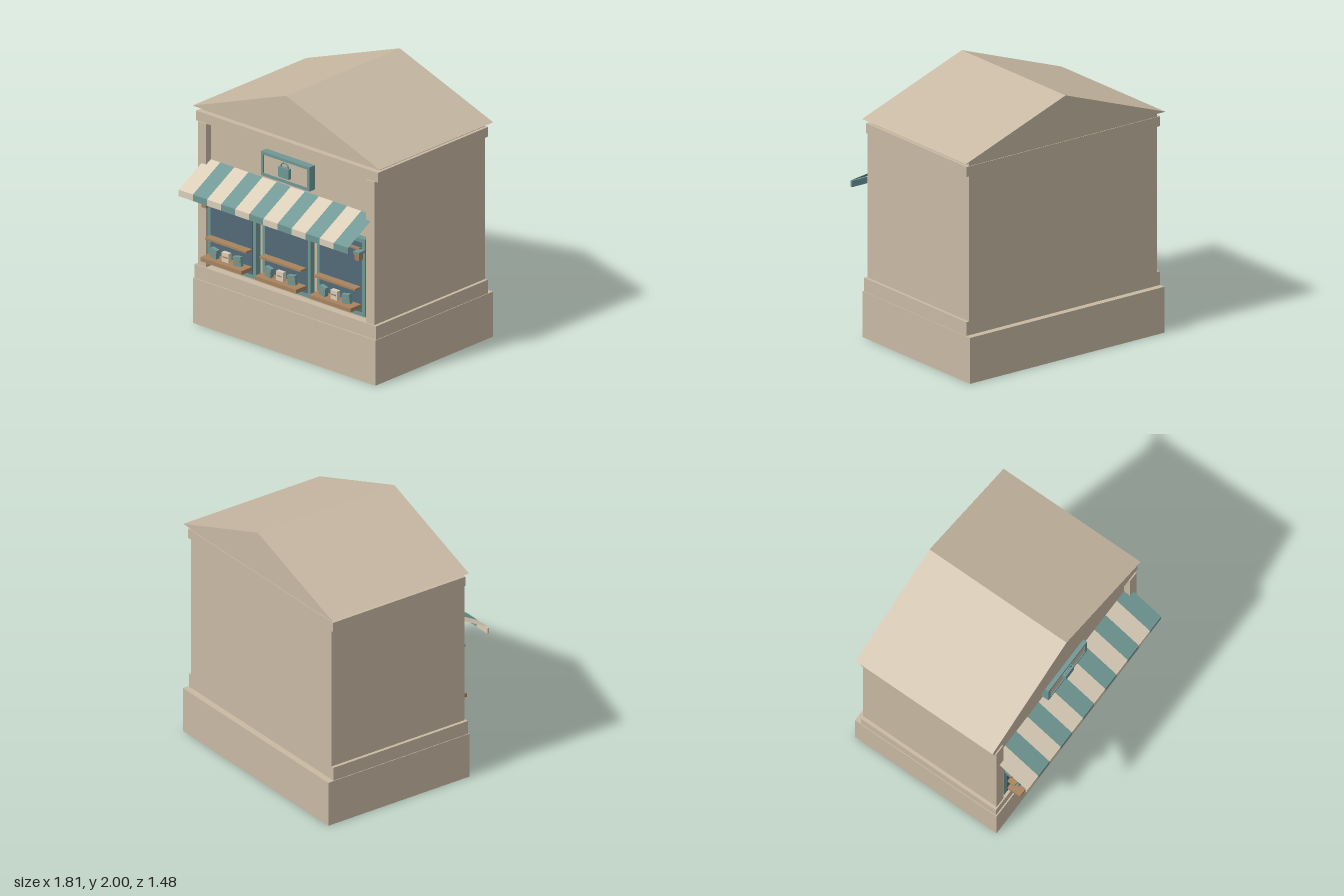
import * as THREE from 'three';

const mat = (name, color) => {
  const m = new THREE.MeshStandardMaterial({ color });
  m.name = name;
  return m;
};

export function createModel() {
  const stone = mat('stone', 0xc8b9a3);
  const cream = mat('cream', 0xdacdb7);
  const teal = mat('teal', 0x6f9794);
  const glass = mat('glass', 0x526a78);
  const wood = mat('wood', 0xa8845f);
  const creamCloth = cream.clone();
  const tealCloth = teal.clone();
  creamCloth.name = 'creamCloth';
  tealCloth.name = 'tealCloth';
  creamCloth.side = tealCloth.side = THREE.DoubleSide;

  const model = new THREE.Group();
  model.name = 'shop';

  const add = (parent, name, geometry, material) => {
    const mesh = new THREE.Mesh(geometry, material);
    mesh.name = name;
    parent.add(mesh);
    return mesh;
  };
  // Box given by its limits on each axis
  const box = (parent, name, material, [x0, x1], [y0, y1], [z0, z1]) => {
    const mesh = add(parent, name, new THREE.BoxGeometry(x1 - x0, y1 - y0, z1 - z0), material);
    mesh.position.set((x0 + x1) / 2, (y0 + y1) / 2, (z0 + z1) / 2);
    return mesh;
  };
  const group = (parent, name, x = 0, y = 0, z = 0) => {
    const g = new THREE.Group();
    g.name = name;
    g.position.set(x, y, z);
    parent.add(g);
    return g;
  };
  // Rectangular border extruded toward the front
  const border = (parent, name, material, w, h, t, depth) => {
    const rect = (Shape, a, b) => new Shape([
      new THREE.Vector2(-a, -b), new THREE.Vector2(a, -b),
      new THREE.Vector2(a, b), new THREE.Vector2(-a, b)]);
    const shape = rect(THREE.Shape, w / 2, h / 2);
    shape.holes.push(rect(THREE.Path, w / 2 - t, h / 2 - t));
    return add(parent, name, new THREE.ExtrudeGeometry(shape, { depth, bevelEnabled: false }), material);
  };

  // Masonry
  box(model, 'base', stone, [-0.885, 0.885], [0, 0.35], [-0.74, 0.515]);
  box(model, 'plinth', stone, [-0.88, 0.88], [0.35, 0.455], [-0.69, 0.505]);
  box(model, 'walls', stone, [-0.855, 0.855], [0.455, 1.565], [-0.69, 0.445]);
  for (const s of [-1, 1]) {
    const name = s > 0 ? 'leftPilaster' : 'rightPilaster';
    box(model, name, stone, s > 0 ? [0.775, 0.855] : [-0.855, -0.775], [0.455, 1.565], [0.445, 0.495]);
  }
  box(model, 'cornice', stone, [-0.88, 0.88], [1.565, 1.64], [-0.695, 0.485]);
  box(model, 'roofCourse', stone, [-0.855, 0.855], [1.64, 1.676], [-0.69, 0.44]);

  // Gabled roof
  const gable = new THREE.Shape([
    new THREE.Vector2(-0.907, 1.675), new THREE.Vector2(0.907, 1.675), new THREE.Vector2(0, 2)]);
  add(model, 'roof', new THREE.ExtrudeGeometry(gable, { depth: 1.215, bevelEnabled: false }), stone)
    .position.z = -0.72;

  // Striped awning: thin sloping sheet with a hanging valance
  const awning = group(model, 'awning');
  const stripe = 1.64 / 12;
  const drop = 0.16, reach = 0.29;
  for (let i = 0; i < 12; i++) {
    const x = -0.82 + i * stripe;
    const sheet = add(awning, 'awningStripe', new THREE.PlaneGeometry(stripe, Math.hypot(drop, reach)),
      i % 2 ? tealCloth : creamCloth);
    sheet.position.set(x + stripe / 2, 1.28 - drop / 2, 0.445 + reach / 2);
    sheet.rotation.x = -Math.atan2(reach, drop);
    box(awning, 'valanceStripe', i % 2 ? teal : cream, [x, x + stripe], [1.07, 1.118], [0.724, 0.739]);
  }

  // Hanging sign with a shopping bag
  const sign = group(model, 'sign', 0, 1.417, 0);
  border(sign, 'signFrame', teal, 0.47, 0.187, 0.022, 0.065).position.z = 0.44;
  box(sign, 'signBoard', stone, [-0.213, 0.213], [-0.072, 0.072], [0.44, 0.498]);
  box(sign, 'signBag', teal, [-0.051, 0.051], [-0.048, 0.03], [0.497, 0.525]);
  add(sign, 'signBagHandle', new THREE.TorusGeometry(0.035, 0.006, 8, 20, Math.PI), teal)
    .position.set(0, 0.03, 0.511);

  // Display windows with shelves and goods
  for (const x of [-0.5275, 0, 0.5275]) {
    const win = group(model, 'displayWindow', x);
    border(win, 'windowFrame', teal, 0.465, 0.6, 0.031, 0.047).position.set(0, 0.79, 0.445);
    box(win, 'windowPane', glass, [-0.203, 0.203], [0.523, 1.06], [0.488, 0.497]);
    box(win, 'displayLedge', wood, [-0.2, 0.2], [0.553, 0.583], [0.45, 0.61]);
    box(win, 'middleShelf', wood, [-0.2, 0.2], [0.704, 0.72], [0.45, 0.56]);
    box(win, 'topRail', wood, [-0.2, 0.2], [1.008, 1.022], [0.45, 0.52]);
    for (const i of [-1, 0, 1]) {
      const bag = group(win, 'shoppingBag', i * 0.112, 0.62, 0.55);
      bag.rotation.set(0, i * 0.15, i * 0.12);
      box(bag, 'bagBody', i ? teal : cream, [-0.033, 0.033], [-0.036, 0.036], [-0.016, 0.016]);
      box(bag, 'bagBand', wood, [-0.022, 0.022], [-0.002, 0.007], [0.016, 0.02]);
    }
  }

  // Wall lanterns beside the outer windows
  for (const s of [-1, 1]) {
    const lantern = group(model, s > 0 ? 'leftLantern' : 'rightLantern', s * 0.742);
    box(lantern, 'lanternArm', teal, [-0.012, 0.012], [0.985, 1.01], [0.47, 0.53]);
    box(lantern, 'lanternCap', teal, [-0.028, 0.028], [0.998, 1.014], [0.503, 0.566]);
    const body = add(lantern, 'lanternBody',
      new THREE.CylinderGeometry(0.033, 0.029, 0.053, 4).toNonIndexed(), wood);
    body.geometry.rotateY(Math.PI / 4);
    body.geometry.computeVertexNormals();
    body.position.set(0, 0.972, 0.537);
  }

  return model;
}
